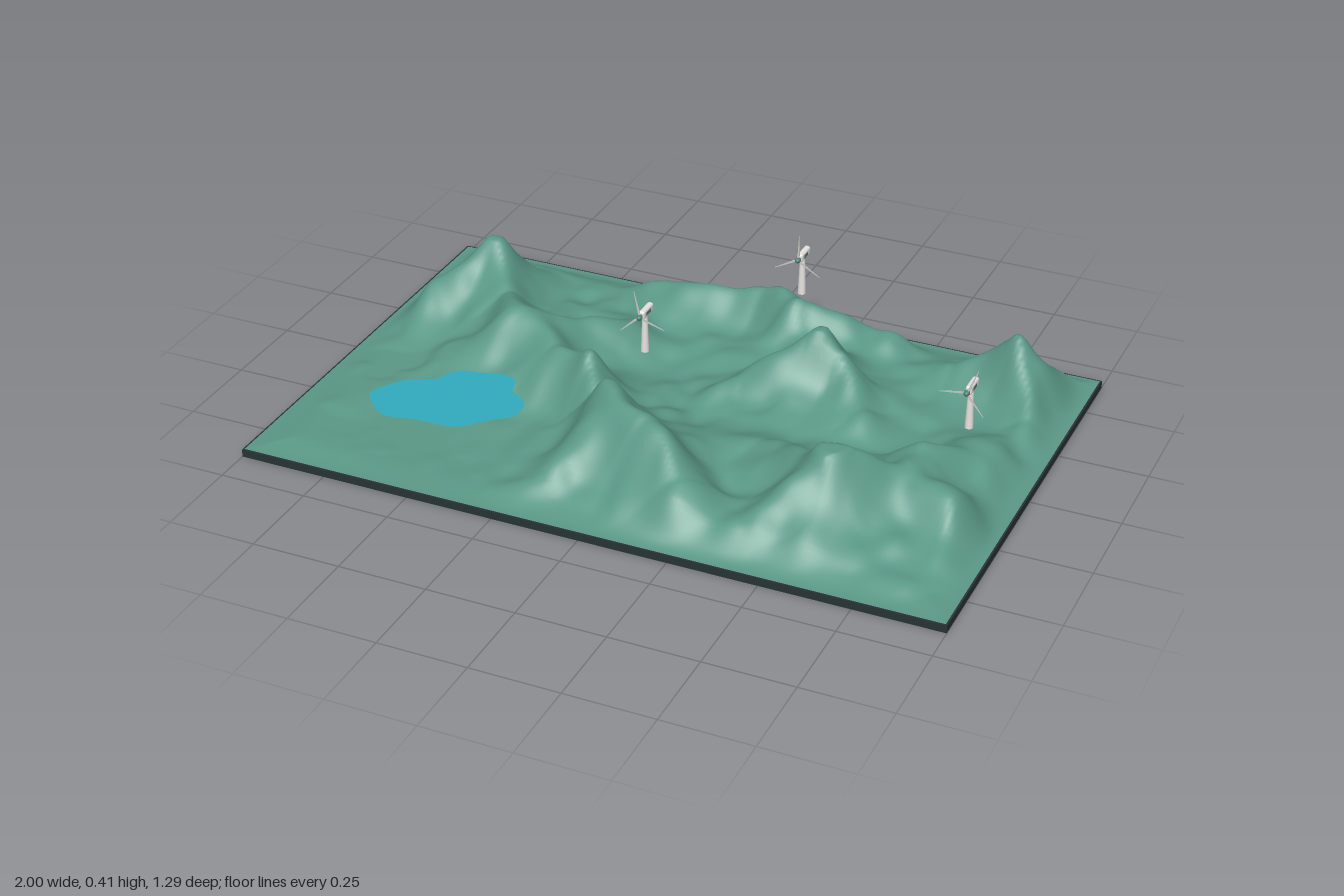
import * as THREE from 'three';
import { RoundedBoxGeometry } from 'three/addons/geometries/RoundedBoxGeometry.js';

const mat = (name, color, side = THREE.FrontSide) => {
  const m = new THREE.MeshStandardMaterial({ color, side });
  m.name = name;
  return m;
};

const W = 1.99, D = 1.285, BASE = 0.0225;

// mountain ridges as polylines of [x, z, height above the slab]
const RIDGES = [
  // long main ridge, from the back left to the front middle
  [[-0.88, -0.25, 0.14], [-0.76, -0.34, 0.222], [-0.63, -0.22, 0.13], [-0.51, -0.07, 0.19], [-0.38, 0.03, 0.14],
    [-0.24, 0.09, 0.185], [-0.15, 0.17, 0.11], [-0.07, 0.27, 0.225], [0.05, 0.34, 0.225], [0.2, 0.48, 0.12]],
  // its spurs
  [[-0.07, 0.3, 0.21], [-0.19, 0.53, 0.06]],
  [[-0.76, -0.34, 0.2], [-0.84, -0.52, 0.06]],
  [[-0.51, -0.07, 0.18], [-0.3, -0.24, 0.08]],
  // middle hill
  [[0.12, -0.12, 0.09], [0.3, -0.22, 0.24], [0.38, -0.2, 0.18], [0.5, -0.1, 0.08]],
  // back range
  [[-0.3, -0.53, 0.08], [0.05, -0.55, 0.15], [0.16, -0.46, 0.17], [0.38, -0.52, 0.07]],
  // back right hill
  [[0.62, -0.44, 0.07], [0.83, -0.44, 0.21], [0.91, -0.26, 0.07]],
  // right ridge
  [[0.82, -0.02, 0.11], [0.74, 0.1, 0.15], [0.74, 0.22, 0.12], [0.55, 0.335, 0.222], [0.42, 0.5, 0.06]],
  [[0.58, 0.33, 0.18], [0.3, 0.17, 0.08]],
  [[0.74, 0.2, 0.11], [0.91, 0.26, 0.12]],
];

const hash = (i, j) => {
  const s = Math.sin(i * 127.1 + j * 311.7) * 43758.5453;
  return s - Math.floor(s);
};
const smooth = t => t * t * (3 - 2 * t);
function noise(x, z) {
  const i = Math.floor(x), j = Math.floor(z), u = smooth(x - i), v = smooth(z - j);
  const a = hash(i, j) * (1 - u) + hash(i + 1, j) * u;
  const b = hash(i, j + 1) * (1 - u) + hash(i + 1, j + 1) * u;
  return (a * (1 - v) + b * v) * 2 - 1;
}

// height of one ridge at a point: nearest place on each segment, bell falloff
function ridgeHeight(line, x, z) {
  let best = 0;
  for (let i = 0; i < line.length - 1; i++) {
    const [ax, az, ah] = line[i], [bx, bz, bh] = line[i + 1];
    const dx = bx - ax, dz = bz - az;
    const t = THREE.MathUtils.clamp(((x - ax) * dx + (z - az) * dz) / (dx * dx + dz * dz), 0, 1);
    const d = Math.hypot(x - ax - dx * t, z - az - dz * t);
    best = Math.max(best, (ah + (bh - ah) * t) / (1 + Math.pow(d / 0.1, 1.9)));
  }
  return best;
}

function groundHeight(x, z) {
  const wx = x + 0.028 * noise(x * 7 + 3, z * 7), wz = z + 0.028 * noise(x * 7, z * 7 + 9);
  let sum = 0;
  for (const r of RIDGES) sum += Math.pow(ridgeHeight(r, wx, wz), 4);
  let h = Math.pow(sum, 0.25);
  h += 0.022 * noise(x * 6, z * 6 + 5) * (0.4 + h * 4) + 0.013 * noise(x * 14, z * 14);
  // level basin around the lake
  const basin = Math.exp(-Math.pow(Math.hypot((x + 0.5) / 0.34, (z - 0.39) / 0.24), 4));
  h = Math.max(h, 0.012) * (1 - 0.6 * basin);
  const edge = Math.min(W / 2 - Math.abs(x), D / 2 - Math.abs(z));
  return BASE + Math.min(h, 0.224) * smooth(THREE.MathUtils.clamp(edge / 0.115, 0, 1));
}

function terrainGeometry() {
  const g = new THREE.PlaneGeometry(W, D, 170, 110).rotateX(-Math.PI / 2);
  const p = g.attributes.position;
  for (let i = 0; i < p.count; i++) p.setY(i, groundHeight(p.getX(i), p.getZ(i)));
  g.computeVertexNormals();
  return g;
}

// lake shore as [x, z]
const SHORE = [[-0.425, 0.225], [-0.38, 0.24], [-0.36, 0.295], [-0.305, 0.335], [-0.3, 0.41], [-0.355, 0.46],
  [-0.415, 0.52], [-0.53, 0.53], [-0.61, 0.545], [-0.665, 0.51], [-0.705, 0.455], [-0.675, 0.39],
  [-0.64, 0.35], [-0.58, 0.32], [-0.55, 0.26], [-0.48, 0.24]];

export function createModel() {
  const green = mat('hill green', 0x5b9886);
  const dark = mat('slab dark', 0x293335);
  const blue = mat('lake blue', 0x30acbe, THREE.DoubleSide);
  const white = mat('turbine white', 0xe6e2e0);
  const trim = mat('turbine green trim', 0x4f8272);
  const grey = mat('blade grey', 0xc8c8c8);
  const model = new THREE.Group();
  model.name = 'windFarmLandscape';

  const add = (parent, name, geo, m, x = 0, y = 0, z = 0) => {
    const mesh = new THREE.Mesh(geo, m);
    mesh.name = name;
    mesh.position.set(x, y, z);
    parent.add(mesh);
    return mesh;
  };

  add(model, 'baseSlab', new THREE.BoxGeometry(2, 0.022, 1.295), dark, 0, 0.011, 0);
  add(model, 'terrain', terrainGeometry(), green);

  // lake: flat sheet with a softly wavy shore
  const lake = new THREE.Shape();
  const pts = SHORE.map(([x, z]) => new THREE.Vector2(x, -z));
  lake.moveTo(pts[0].x, pts[0].y);
  lake.splineThru([...pts.slice(1), pts[0]]);
  add(model, 'lake', new THREE.ShapeGeometry(lake, 4).rotateX(-Math.PI / 2), blue, 0, 0.168, 0);

  // tapered blade, root at the origin, pointing up
  const outline = new THREE.Shape([[0.002, 0], [0.0045, 0.016], [0.0008, 0.077], [-0.0008, 0.077], [-0.002, 0.016], [-0.002, 0]]
    .map(([x, y]) => new THREE.Vector2(x, y)));
  const bladeGeo = new THREE.ExtrudeGeometry(outline, { depth: 0.001, bevelEnabled: false });
  const towerGeo = new THREE.CylinderGeometry(0.0075, 0.0115, 0.11, 20);
  const nacelleGeo = new RoundedBoxGeometry(0.018, 0.025, 0.065, 4, 0.007);
  const stripeGeo = new THREE.BoxGeometry(0.002, 0.01, 0.028);
  const hubGeo = new THREE.SphereGeometry(0.008, 16, 10).scale(1, 1, 1.4);

  // turbines: [x, foot height, z, angle of first blade in degrees]
  [[-0.1, 0.207, 0.013, 12], [0.17, 0.215, -0.452, -2], [0.84, 0.22, 0.054, -22]].forEach(([x, y, z, angle]) => {
    const turbine = new THREE.Group();
    turbine.name = 'windTurbine';
    turbine.position.set(x, y, z);
    add(turbine, 'tower', towerGeo, white, 0, 0.055, 0);
    add(turbine, 'nacelle', nacelleGeo, white, 0, 0.12, -0.008);
    for (const s of [-1, 1]) add(turbine, 'nacelleStripe', stripeGeo, trim, s * 0.0085, 0.12, -0.004);
    const rotor = new THREE.Group();
    rotor.name = 'rotor';
    rotor.position.set(0, 0.12, 0.034);
    rotor.rotation.z = THREE.MathUtils.degToRad(angle);
    add(rotor, 'hub', hubGeo, trim);
    for (let i = 0; i < 3; i++) add(rotor, 'blade', bladeGeo, grey).rotation.z = i * Math.PI * 2 / 3;
    turbine.add(rotor);
    model.add(turbine);
  });
  return model;
}
